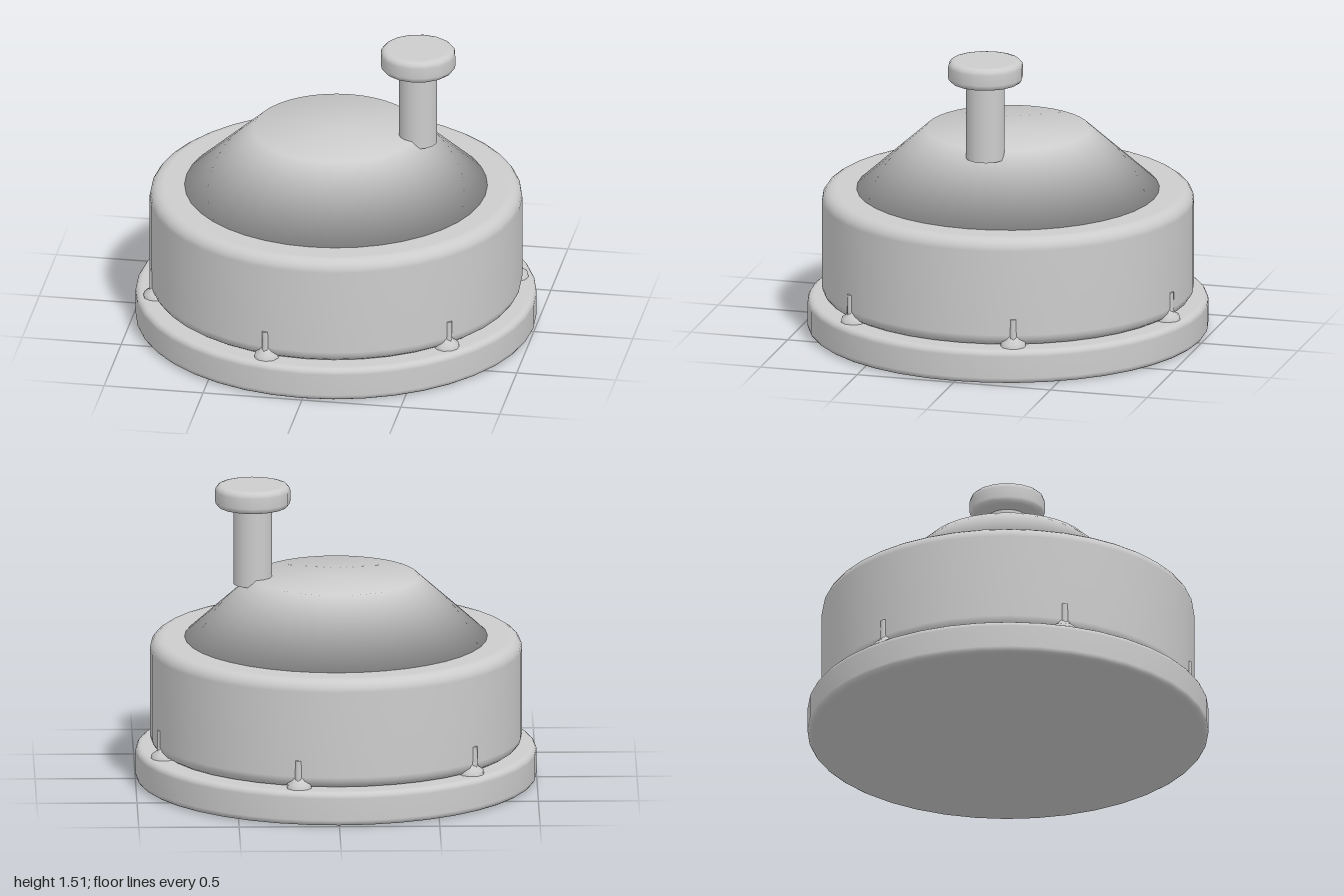
import * as THREE from 'three';

const plainGrey = new THREE.MeshStandardMaterial({ color: 0xcccccc });

// Spin a profile of [radius, height] pairs, listed from bottom to top
function lathe(name, points, segments) {
  const profile = points.map(([r, y]) => new THREE.Vector2(r, y));
  const mesh = new THREE.Mesh(new THREE.LatheGeometry(profile, segments), plainGrey);
  mesh.name = name;
  return mesh;
}

// Solid disc with rounded rims; extra rings keep the flat faces flat
function roundedDisc(name, radius, y0, y1, fillet, segments, steps = 4) {
  const inner = radius - fillet;
  const arc = (yc, from) => Array.from({ length: steps + 1 }, (_, i) => {
    const a = from + (i / steps) * Math.PI / 2;
    return [inner + fillet * Math.cos(a), yc + fillet * Math.sin(a)];
  });
  return lathe(name, [
    [0, y0], [inner - 0.01, y0],
    ...arc(y0 + fillet, -Math.PI / 2),
    ...arc(y1 - fillet, 0),
    [inner - 0.01, y1], [0, y1],
  ], segments);
}

export function createModel() {
  const model = new THREE.Group();
  model.name = 'crankedDrum';

  // Base plate and drum
  model.add(roundedDisc('basePlate', 1, 0, 0.172, 0.03, 40));
  model.add(roundedDisc('drum', 0.928, 0.172, 0.728, 0.06, 40));

  // Flat-topped dome, smoothly shaded over its edges
  model.add(lathe('dome', [[0, 0.726], [0.757, 0.726], [0.41, 1.038], [0, 1.038]], 40));

  // Off-centre handle
  const handle = new THREE.Group();
  handle.name = 'handle';
  const pin = new THREE.Mesh(new THREE.CylinderGeometry(0.096, 0.096, 0.41, 20), plainGrey);
  pin.name = 'handlePin';
  pin.position.y = 1.205;
  handle.add(pin, roundedDisc('handleKnob', 0.188, 1.395, 1.508, 0.03, 16, 3));
  handle.position.x = 0.415;
  model.add(handle);

  // Six small spikes standing around the foot of the drum
  for (let i = 0; i < 6; i++) {
    const spike = new THREE.Group();
    spike.name = 'spike';
    const foot = lathe('spikeFoot', [
      [0.064, 0.165], [0.06, 0.193], [0.036, 0.21], [0.022, 0.235], [0, 0.25],
    ], 10);
    foot.position.x = 0.905;
    const post = new THREE.Mesh(new THREE.CylinderGeometry(0.017, 0.019, 0.135, 8), plainGrey);
    post.name = 'spikePost';
    post.position.set(0.92, 0.2475, 0);
    spike.add(foot, post);
    spike.rotation.y = -THREE.MathUtils.degToRad(42.7 + i * 60);
    model.add(spike);
  }
  return model;
}
